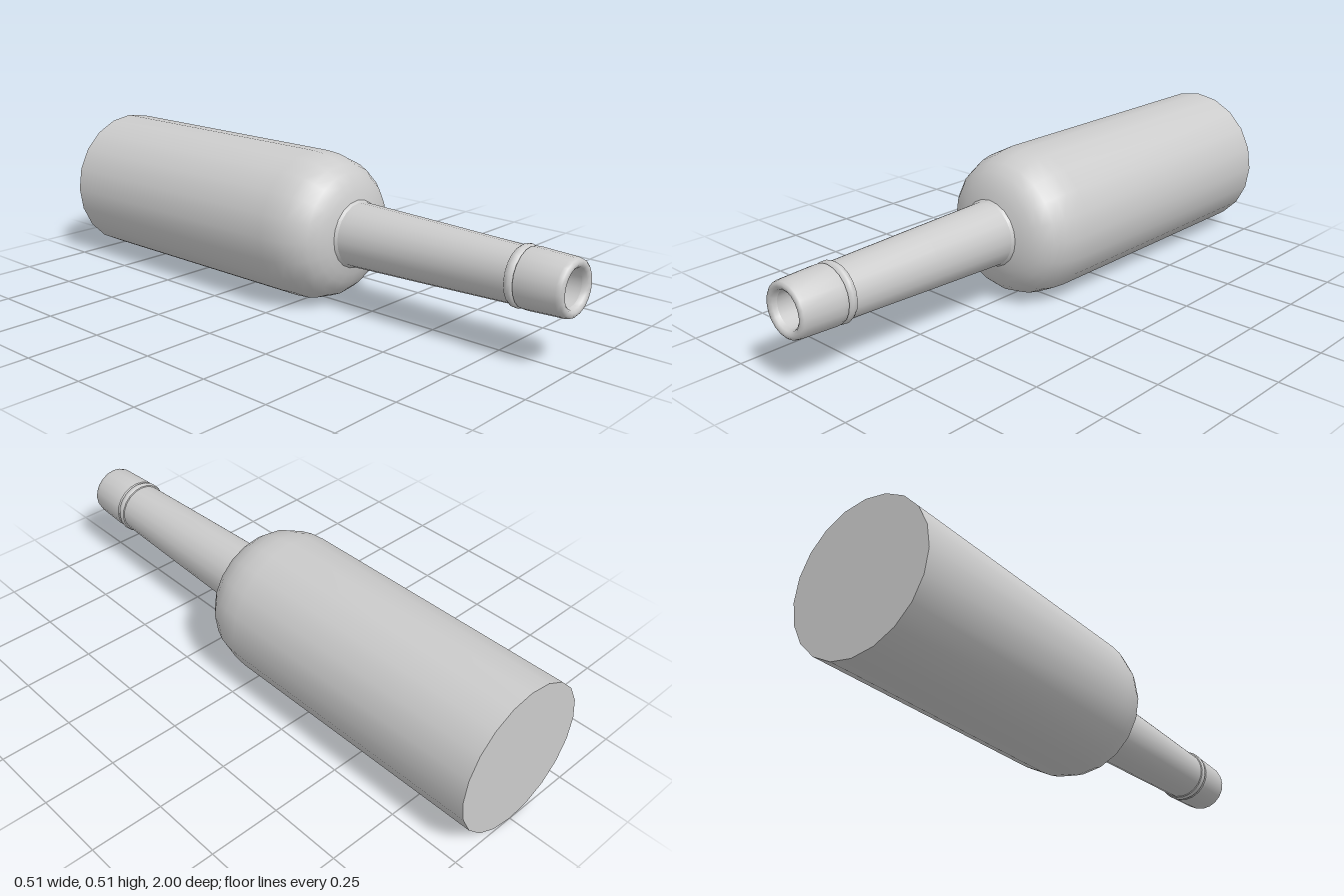
import * as THREE from 'three';
import { toCreasedNormals } from 'three/addons/utils/BufferGeometryUtils.js';

const SIDES = 20;
const RADIUS = 0.254;

export function createModel() {
  const bottle = new THREE.Group();
  bottle.name = 'bottle';
  const material = new THREE.MeshStandardMaterial({ color: 0xcccccc });

  // Turns a profile of [radius, z] points around the lengthwise axis.
  function turned(name, profile, crease = 0.75) {
    const points = profile.map(([r, z]) => new THREE.Vector2(r, z));
    const geometry = toCreasedNormals(new THREE.LatheGeometry(points, SIDES), crease);
    geometry.rotateX(Math.PI / 2);
    geometry.translate(0, RADIUS, 0);
    const mesh = new THREE.Mesh(geometry, material);
    mesh.name = name;
    bottle.add(mesh);
  }

  // Flat base, straight wall and rounded shoulder
  turned('body', [
    [0, -1], [RADIUS, -1], [RADIUS, -0.02], [0.25, 0.03], [0.241, 0.07],
    [0.224, 0.11], [0.2, 0.14], [0.17, 0.16], [0.14, 0.173], [0.115, 0.18], [0.109, 0.19],
  ]);

  // Long tapering neck
  turned('neck', [[0.109, 0.19], [0.1, 0.5], [0.09, 0.812]]);

  // Half-round bead below the mouth
  turned('collarRing', [
    [0.088, 0.81], [0.094, 0.812], [0.098, 0.82], [0.098, 0.828], [0.094, 0.836], [0.089, 0.839],
  ]);

  // Mouth band with a rounded lip
  turned('mouth', [
    [0.089, 0.839], [0.095, 0.843], [0.096, 0.86], [0.091, 0.98], [0.088, 0.994],
    [0.081, 1], [0.071, 1], [0.063, 0.994], [0.059, 0.98],
  ]);

  // Hollow inside, from the lip down to the inner floor
  turned('interior', [
    [0.059, 0.98], [0.064, 0.8], [0.085, 0.19], [0.13, 0.15], [0.19, 0.1],
    [0.225, 0.03], [0.232, -0.03], [0.232, -0.97], [0, -0.97],
  ]);

  return bottle;
}
